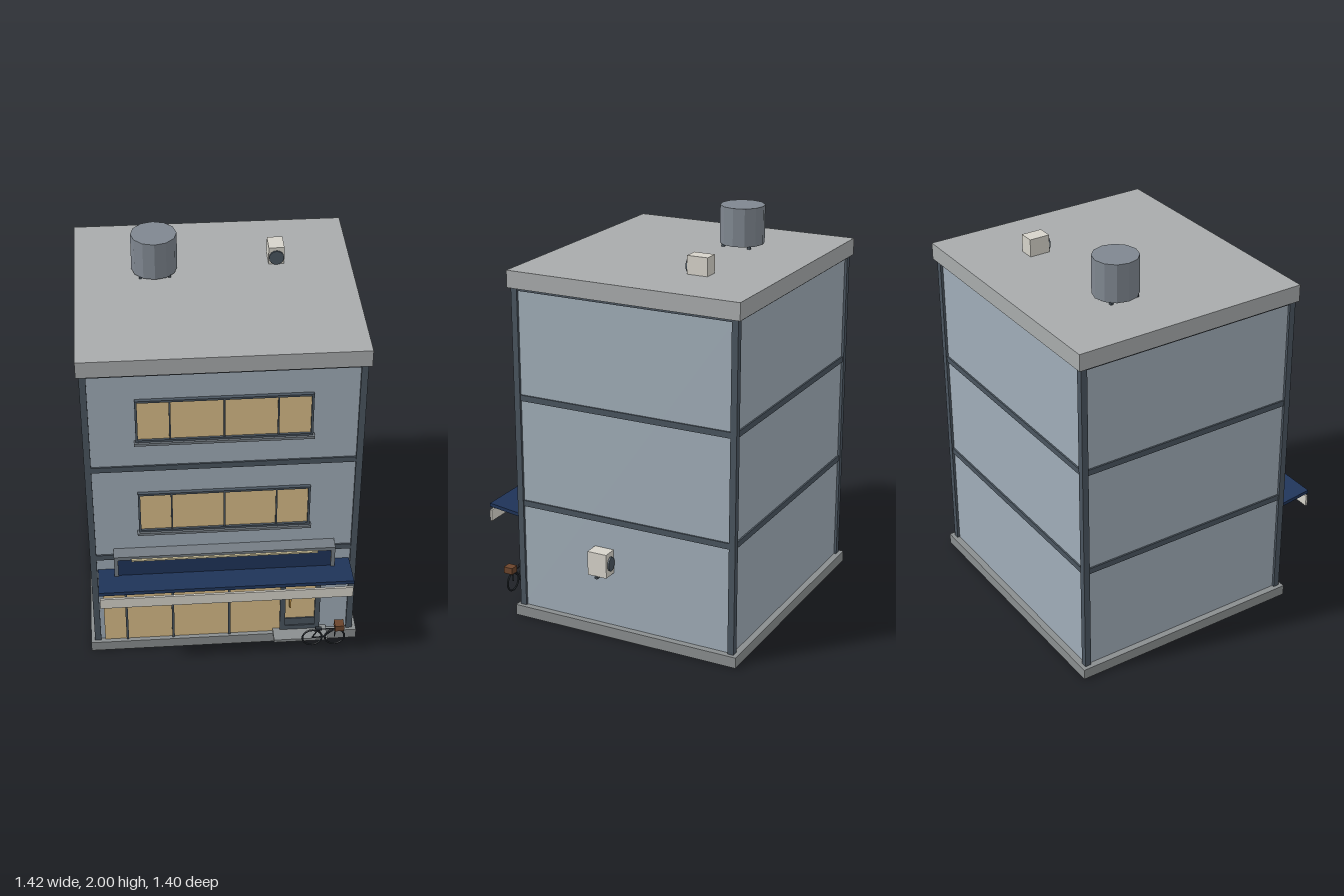
import * as THREE from 'three';

const mat = (color) => new THREE.MeshStandardMaterial({ color, flatShading: true });
const M = {
  wall: mat(0xa0adb8), trim: mat(0x4a555f), concrete: mat(0x8a8e8f), roof: mat(0xa8abac),
  glass: mat(0xd8bc88), blue: mat(0x1f3459), cream: mat(0xd6d3ca), tank: mat(0x7f8790),
  sill: mat(0x747c83), dark: mat(0x2c3238), brown: mat(0x6b452c), brass: mat(0xc99a4a), light: mat(0xe8dcb0),
};

export function createModel() {
  const root = new THREE.Group();
  root.name = 'shopBuilding';

  const group = (name, parent = root) => {
    const g = new THREE.Group();
    g.name = name;
    parent.add(g);
    return g;
  };
  const add = (parent, name, geometry, material, x = 0, y = 0, z = 0) => {
    const m = new THREE.Mesh(geometry, material);
    m.name = name;
    m.position.set(x, y, z);
    parent.add(m);
    return m;
  };
  // Box given by its extents on each axis
  const box = (parent, name, material, [x0, x1], [y0, y1], [z0, z1]) =>
    add(parent, name, new THREE.BoxGeometry(x1 - x0, y1 - y0, z1 - z0), material,
      (x0 + x1) / 2, (y0 + y1) / 2, (z0 + z1) / 2);
  // Rectangular ring facing +z
  const frame = (parent, name, material, [x0, x1], [y0, y1], [z0, z1], t) => {
    const s = new THREE.Shape([[x0, y0], [x1, y0], [x1, y1], [x0, y1]].map((p) => new THREE.Vector2(...p)));
    s.holes.push(new THREE.Path([[x0 + t, y0 + t], [x0 + t, y1 - t], [x1 - t, y1 - t], [x1 - t, y0 + t]]
      .map((p) => new THREE.Vector2(...p))));
    return add(parent, name, new THREE.ExtrudeGeometry(s, { depth: z1 - z0, bevelEnabled: false }), material, 0, 0, z0);
  };
  // Round bar between two points
  const bar = (parent, name, material, a, b, r) => {
    const p = new THREE.Vector3(...a), q = new THREE.Vector3(...b), d = q.clone().sub(p);
    const m = add(parent, name, new THREE.CylinderGeometry(r, r, d.length(), 6), material);
    m.position.copy(p.add(q).multiplyScalar(0.5));
    m.quaternion.setFromUnitVectors(new THREE.Vector3(0, 1, 0), d.normalize());
  };

  // Main block
  const X = [-0.69, 0.637], Z = [-0.68, 0.508];
  box(root, 'baseSlab', M.concrete, [-0.71, 0.657], [0, 0.055], [-0.7, 0.525]);
  box(root, 'walls', M.wall, [X[0] + 0.013, X[1] - 0.013], [0.055, 1.712], [Z[0] + 0.013, Z[1] - 0.013]);
  box(root, 'roofSlab', M.roof, [-0.703, 0.652], [1.71, 1.795], [-0.695, 0.52]);

  // Corner columns and floor beams
  const skeleton = group('columnsAndBeams');
  const c = 0.032;
  for (const x of [X[0], X[1] - c])
    for (const z of [Z[0], Z[1] - c]) box(skeleton, 'column', M.trim, [x, x + c], [0.055, 1.71], [z, z + c]);
  for (const y of [0.61, 1.16, 1.71])
    box(skeleton, 'floorBeam', M.trim, [X[0] + 0.005, X[1] - 0.005], [y - 0.015, y + 0.015], [Z[0] + 0.005, Z[1] - 0.005]);

  // Upper windows
  for (const y of [0.775, 1.325]) {
    const w = group('window');
    box(w, 'pane', M.glass, [-0.435, 0.385], [y + 0.005, y + 0.232], [0.485, 0.502]);
    frame(w, 'windowFrame', M.trim, [-0.442, 0.392], [y, y + 0.237], [0.49, 0.514], 0.011);
    for (const x of [-0.28, -0.025, 0.228])
      box(w, 'mullion', M.trim, [x - 0.004, x + 0.004], [y, y + 0.235], [0.495, 0.51]);
    box(w, 'sill', M.sill, [-0.45, 0.4], [y - 0.014, y], [0.49, 0.525]);
  }

  // Shop front
  const shop = group('shopFront');
  box(shop, 'shopGlass', M.glass, [-0.637, 0.262], [0.055, 0.475], [0.485, 0.503]);
  for (const x of [-0.522, -0.287, 0])
    box(shop, 'mullion', M.trim, [x - 0.006, x + 0.006], [0.055, 0.475], [0.49, 0.512]);

  // Door
  const door = group('door');
  box(door, 'doorStep', M.concrete, [0.225, 0.5], [0.055, 0.071], [0.49, 0.59]);
  frame(door, 'doorFrame', M.trim, [0.26, 0.465], [0.07, 0.448], [0.49, 0.516], 0.027);
  box(door, 'kickPanel', M.trim, [0.28, 0.445], [0.08, 0.142], [0.49, 0.51]);
  box(door, 'doorGlass', M.glass, [0.28, 0.445], [0.14, 0.43], [0.485, 0.504]);
  box(door, 'handle', M.brass, [0.306, 0.314], [0.235, 0.293], [0.504, 0.53]);

  // Sign box above the shop, left blank
  const sign = group('signBox');
  frame(sign, 'signFrame', M.sill, [-0.572, 0.52], [0.455, 0.66], [0.49, 0.563], 0.02);
  box(sign, 'signPanel', M.blue, [-0.555, 0.503], [0.47, 0.645], [0.49, 0.555]);
  box(sign, 'signLight', M.light, [-0.485, 0.433], [0.637, 0.646], [0.55, 0.572]);

  // Awning rising slightly outward, with a front valance
  const awning = group('awning');
  const sheet = box(awning, 'awningSheet', M.blue, [-0.653, 0.6], [0.524, 0.542], [0.497, 0.7]);
  sheet.rotation.x = -0.125;
  box(awning, 'valance', M.cream, [-0.648, 0.597], [0.457, 0.516], [0.692, 0.703]);

  // Air conditioner units: fan on one z end
  const airUnit = (name, x, y, z, fanSide) => {
    const g = group(name);
    box(g, 'casing', M.cream, x, y, z);
    const end = fanSide > 0 ? z[1] : z[0];
    const fan = add(g, 'fan', new THREE.CylinderGeometry(0.037, 0.037, 0.01, 16), M.trim,
      (x[0] + x[1]) / 2, y[0] + (fanSide > 0 ? 0.037 : 0.063), end + fanSide * 0.004);
    if (fanSide < 0) fan.scale.x = 0.75;
    fan.rotation.x = Math.PI / 2;
    return g;
  };
  airUnit('roofAirUnit', [0.248, 0.325], [1.795, 1.885], [-0.373, -0.267], 1);
  const side = airUnit('wallAirUnit', [0.62, 0.698], [0.337, 0.46], [-0.026, 0.077], -1);
  box(side, 'bracket', M.trim, [0.62, 0.706], [0.326, 0.338], [0.02, 0.034]);

  // Water tank on short feet
  const tank = group('waterTank');
  add(tank, 'tankBody', new THREE.CylinderGeometry(0.112, 0.112, 0.192, 12), M.tank, -0.313, 1.904, -0.252);
  for (const dx of [-0.07, 0.07])
    for (const dz of [-0.07, 0.07])
      add(tank, 'tankFoot', new THREE.BoxGeometry(0.015, 0.02, 0.015), M.trim, -0.313 + dx, 1.802, -0.252 + dz);

  // Bicycle
  const bike = group('bicycle');
  const z = 0.623, rear = [0.415, 0.11, z], front = [0.53, 0.11, z];
  for (const hub of [rear, front])
    add(bike, 'wheel', new THREE.TorusGeometry(0.05, 0.005, 6, 20), M.dark, ...hub);
  const seat = [0.447, 0.165, z], head = [0.532, 0.163, z], crank = [0.468, 0.11, z];
  for (const [a, b] of [[seat, head], [seat, crank], [crank, head], [rear, seat], [rear, crank], [head, front]])
    bar(bike, 'frameTube', M.dark, a, b, 0.0035);
  box(bike, 'saddle', M.dark, [0.43, 0.462], [0.165, 0.175], [z - 0.009, z + 0.009]);
  bar(bike, 'handlebar', M.dark, [0.53, 0.177, z - 0.024], [0.53, 0.177, z + 0.024], 0.0035);
  box(bike, 'basket', M.brown, [0.527, 0.574], [0.168, 0.202], [z - 0.025, z + 0.025]);

  return root;
}
